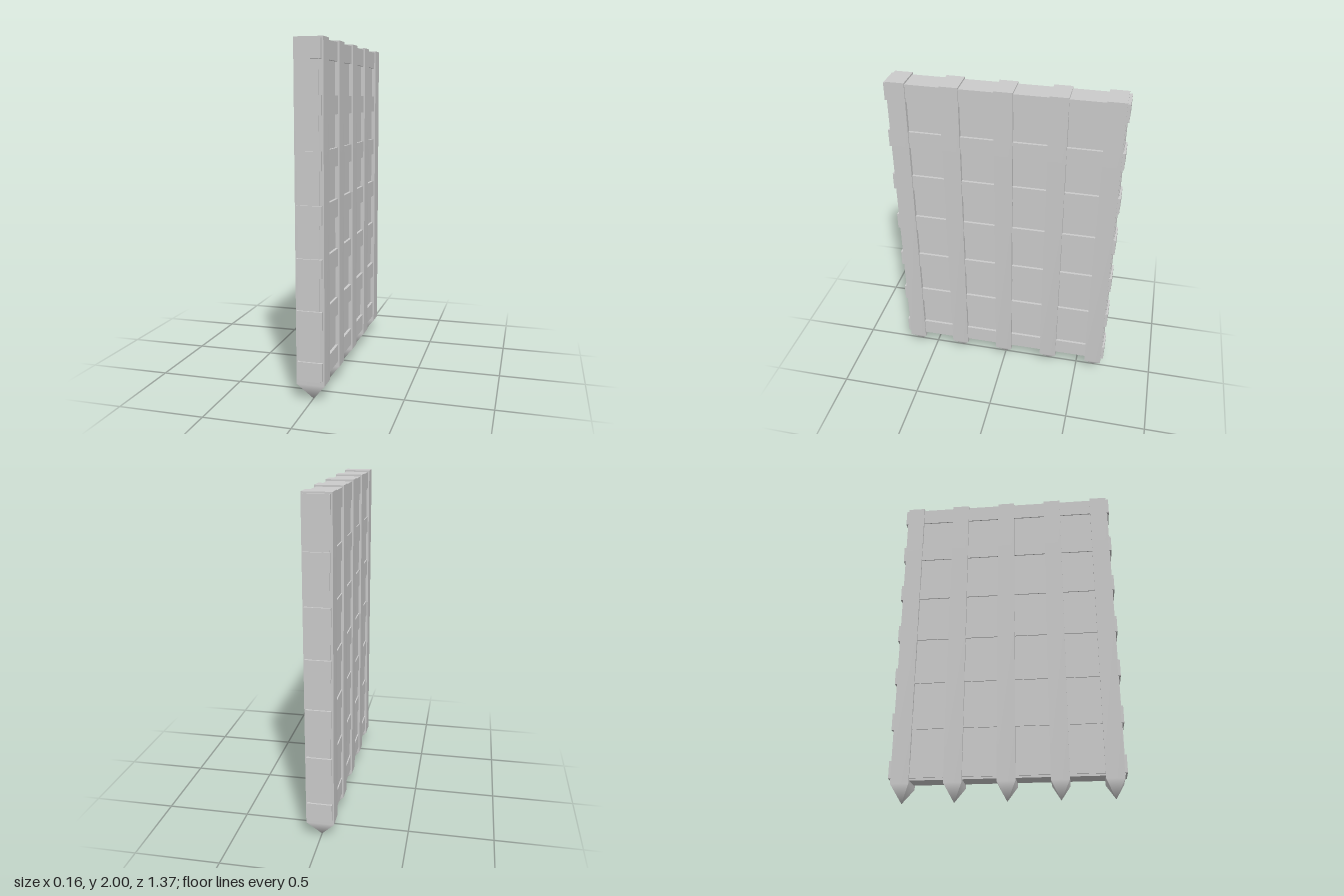
import * as THREE from 'three';

const material = new THREE.MeshStandardMaterial({ color: 0xcccccc });

// Box given by its lower and upper corners
function addBox(parent, name, [x0, y0, z0], [x1, y1, z1]) {
  const mesh = new THREE.Mesh(new THREE.BoxGeometry(x1 - x0, y1 - y0, z1 - z0), material);
  mesh.position.set((x0 + x1) / 2, (y0 + y1) / 2, (z0 + z1) / 2);
  mesh.name = name;
  parent.add(mesh);
}

// Upright post: a box whose lowest ring of vertices is drawn into a point
function pointedPost(width, depth, height, shoulder) {
  const geometry = new THREE.BoxGeometry(width, height, depth, 1, 2, 1);
  const bottom = geometry.groups[3];
  geometry.setIndex([...geometry.index.array].filter(
    (_, i) => i < bottom.start || i >= bottom.start + bottom.count));
  geometry.clearGroups();
  const p = geometry.attributes.position;
  const tips = [];
  for (let i = 0; i < p.count; i++) {
    const y = p.getY(i);
    if (Math.abs(y) < 1e-6) {
      p.setY(i, shoulder);
    } else if (y < 0) {
      p.setXYZ(i, 0, 0, 0);
      tips.push(i);
    } else {
      p.setY(i, height);
    }
  }
  geometry.computeVertexNormals();
  for (const i of tips) geometry.attributes.normal.setXYZ(i, 0, -1, 0);
  return geometry;
}

export function createModel() {
  const model = new THREE.Group();
  model.name = 'gate';

  // Backing panel between the bars
  addBox(model, 'panel', [-0.066, 0.12, -0.674], [0.057, 1.985, 0.674]);

  // Horizontal bars
  const bars = new THREE.Group();
  bars.name = 'crossBars';
  for (let i = 0; i < 7; i++) {
    const y = 0.185 + i * 0.2922;
    addBox(bars, 'crossBar', [-0.073, y - 0.052, -0.685], [0.073, y + 0.052, 0.685]);
  }
  model.add(bars);

  // Vertical pointed posts
  const posts = new THREE.Group();
  posts.name = 'posts';
  const postGeometry = pointedPost(0.164, 0.107, 2, 0.1);
  for (let i = -2; i <= 2; i++) {
    const post = new THREE.Mesh(postGeometry, material);
    post.name = 'pointedPost';
    post.position.z = i * 0.3075;
    posts.add(post);
  }
  model.add(posts);

  return model;
}
